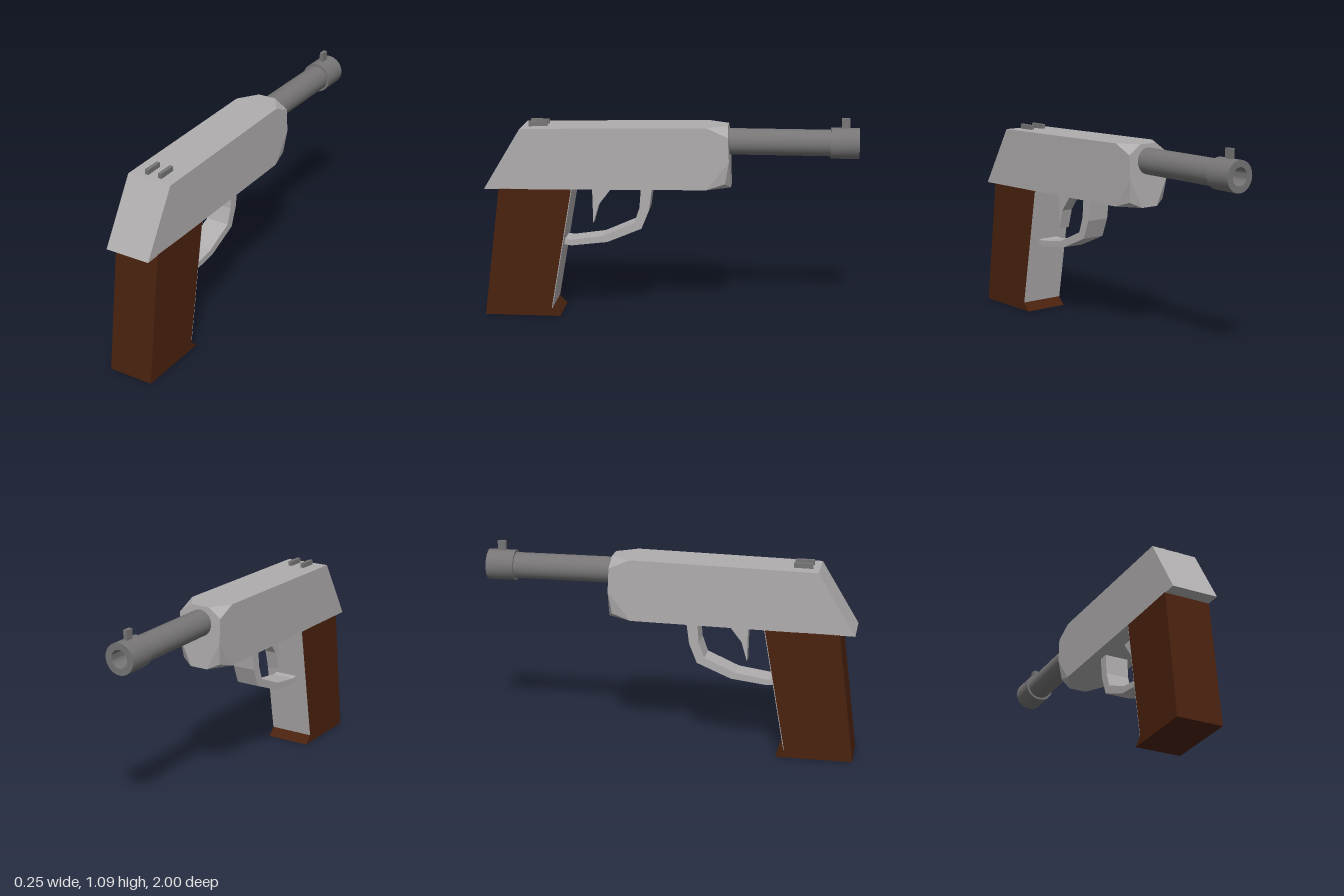
import * as THREE from 'three';
import { toCreasedNormals } from 'three/addons/utils/BufferGeometryUtils.js';
import { ConvexGeometry } from 'three/addons/geometries/ConvexGeometry.js';

function makeMaterial(name, color) {
  const m = new THREE.MeshStandardMaterial({ color });
  m.name = name;
  return m;
}

// Extrude a side profile of [z, y] points across x, centred on x = 0
function sideExtrude(points, width) {
  const shape = new THREE.Shape(points.map(([z, y]) => new THREE.Vector2(z, y)));
  const g = new THREE.ExtrudeGeometry(shape, { depth: width, bevelEnabled: false });
  return g.translate(0, 0, -width / 2).rotateY(-Math.PI / 2);
}

export function createModel() {
  const model = new THREE.Group();
  model.name = 'pistol';
  const steel = makeMaterial('light steel', 0xb0adae);
  const gunmetal = makeMaterial('dark steel', 0x777576);
  const wood = makeMaterial('brown wood', 0x4a220e);

  const add = (name, geometry, material) => {
    const mesh = new THREE.Mesh(geometry, material);
    mesh.name = name;
    model.add(mesh);
    return mesh;
  };

  // Receiver: slanted back, faceted corners at the front
  const half = [
    [0.124, 0.70, 0.99], [0.124, 1.03, 0.79],
    [0.124, 1.05, -0.20], [0.05, 1.05, -0.31], [0.124, 1.0, -0.313],
    [0.124, 0.87, -0.32], [0.112, 0.75, -0.30],
    [0.05, 0.72, -0.328], [0.124, 0.718, -0.20],
  ];
  const corners = half.flatMap(([x, y, z]) =>
    [new THREE.Vector3(x, y, z), new THREE.Vector3(-x, y, z)]);
  add('receiver', new ConvexGeometry(corners), steel);

  // Grip with a flared toe, and a steel strap on its front face
  add('grip', sideExtrude(
    [[0.91, 0.705], [1.0, 0], [0.59, 0], [0.635, 0.045], [0.52, 0.705]], 0.248), wood);
  add('gripFrontStrap', sideExtrude(
    [[0.522, 0.705], [0.637, 0.045], [0.631, 0.045], [0.516, 0.705]], 0.247), steel);

  // Trigger guard and trigger
  add('triggerGuard', sideExtrude([
    [0.15, 0.73], [0.16, 0.60], [0.19, 0.515], [0.36, 0.44], [0.53, 0.415], [0.58, 0.42],
    [0.575, 0.39], [0.53, 0.383], [0.335, 0.407], [0.15, 0.485], [0.108, 0.59], [0.09, 0.73],
  ], 0.13), steel);
  add('trigger', sideExtrude(
    [[0.42, 0.715], [0.415, 0.50], [0.385, 0.605], [0.30, 0.715]], 0.065), steel);

  // Barrel with thicker muzzle sleeve and hollow bore, as [radius, distance forward]
  const profile = [
    [0.07, 0.25], [0.07, 0.85], [0.082, 0.85], [0.082, 1.0],
    [0.047, 1.0], [0.047, 0.55], [0, 0.55],
  ].map(([r, d]) => new THREE.Vector2(r, d));
  const barrel = toCreasedNormals(new THREE.LatheGeometry(profile, 32), 0.7);
  add('barrel', barrel.rotateX(-Math.PI / 2).translate(0, 0.96, 0), gunmetal);

  // Sights
  add('frontSight', new THREE.BoxGeometry(0.022, 0.07, 0.044), gunmetal)
    .position.set(0, 1.057, -0.927);
  for (const side of [-1, 1]) {
    add(side > 0 ? 'rearSightLeft' : 'rearSightRight',
      new THREE.BoxGeometry(0.02, 0.035, 0.1), gunmetal)
      .position.set(side * 0.039, 1.04, 0.705);
  }
  return model;
}
